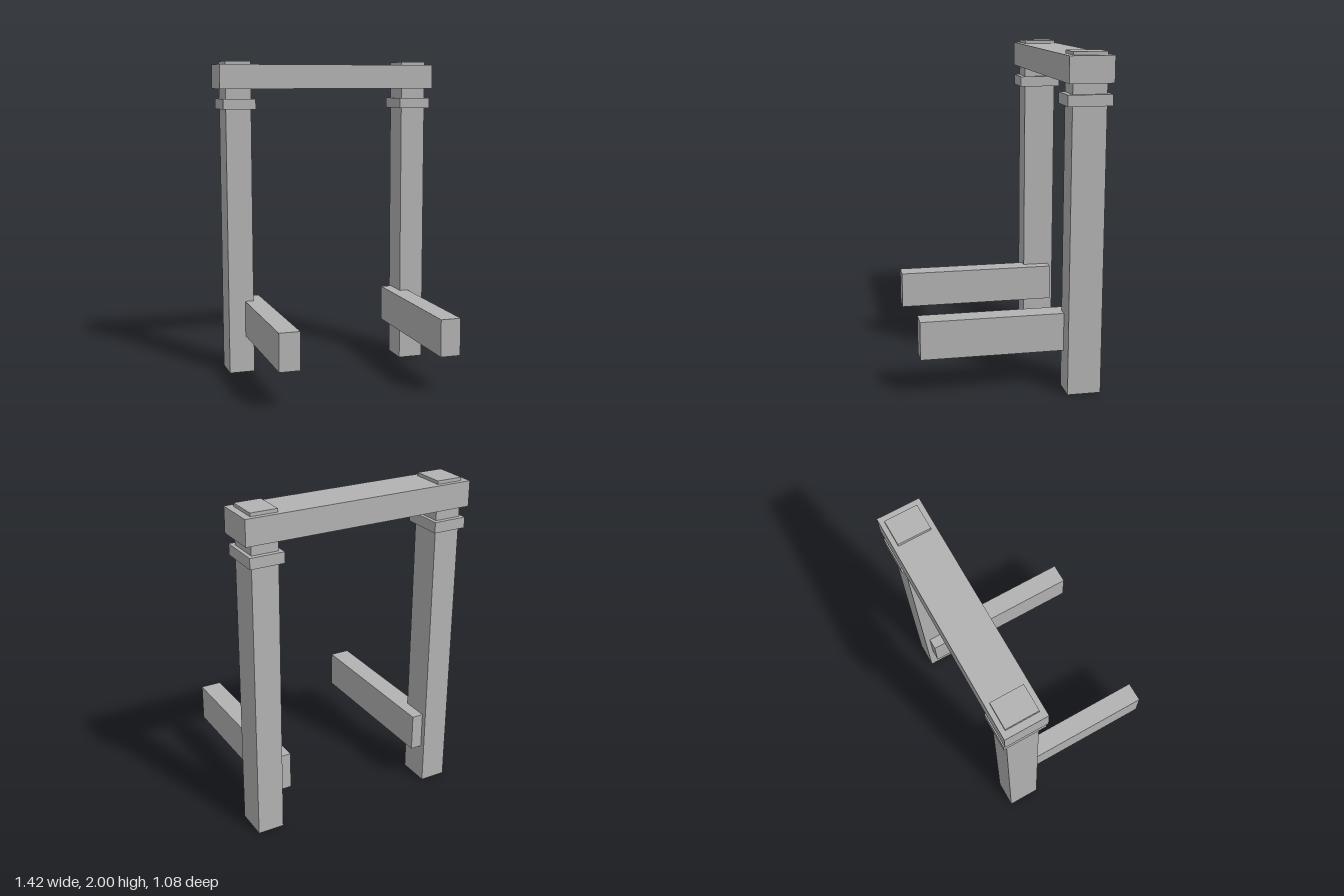
import * as THREE from 'three';

export function createModel() {
  const group = new THREE.Group();
  group.name = 'postFrame';
  const grey = new THREE.MeshStandardMaterial({ color: 0xb2b2b2 });
  grey.name = 'grey';

  // Box given by its lower and upper corners
  function box(name, [x0, y0, z0], [x1, y1, z1]) {
    const mesh = new THREE.Mesh(new THREE.BoxGeometry(x1 - x0, y1 - y0, z1 - z0), grey);
    mesh.position.set((x0 + x1) / 2, (y0 + y1) / 2, (z0 + z1) / 2);
    mesh.name = name;
    group.add(mesh);
  }

  // Top beam spanning both posts
  box('crossBeam', [-0.712, 1.828, -0.54], [0.712, 1.98, -0.28]);

  for (const [side, s] of [['left', 1], ['right', -1]]) {
    const part = (name, xIn, xOut, y0, y1, z0, z1) =>
      box(side + name, [Math.min(s * xIn, s * xOut), y0, z0], [Math.max(s * xIn, s * xOut), y1, z1]);
    // Upright post, passing through the beam
    part('Post', 0.508, 0.67, 0, 2, -0.512, -0.312);
    // Collar below the beam
    part('Collar', 0.485, 0.692, 1.7, 1.765, -0.54, -0.28);
    // Rail reaching forward, let into the inner side of the post
    part('Rail', 0.436, 0.563, 0.238, 0.468, -0.48, 0.54);
  }
  return group;
}
